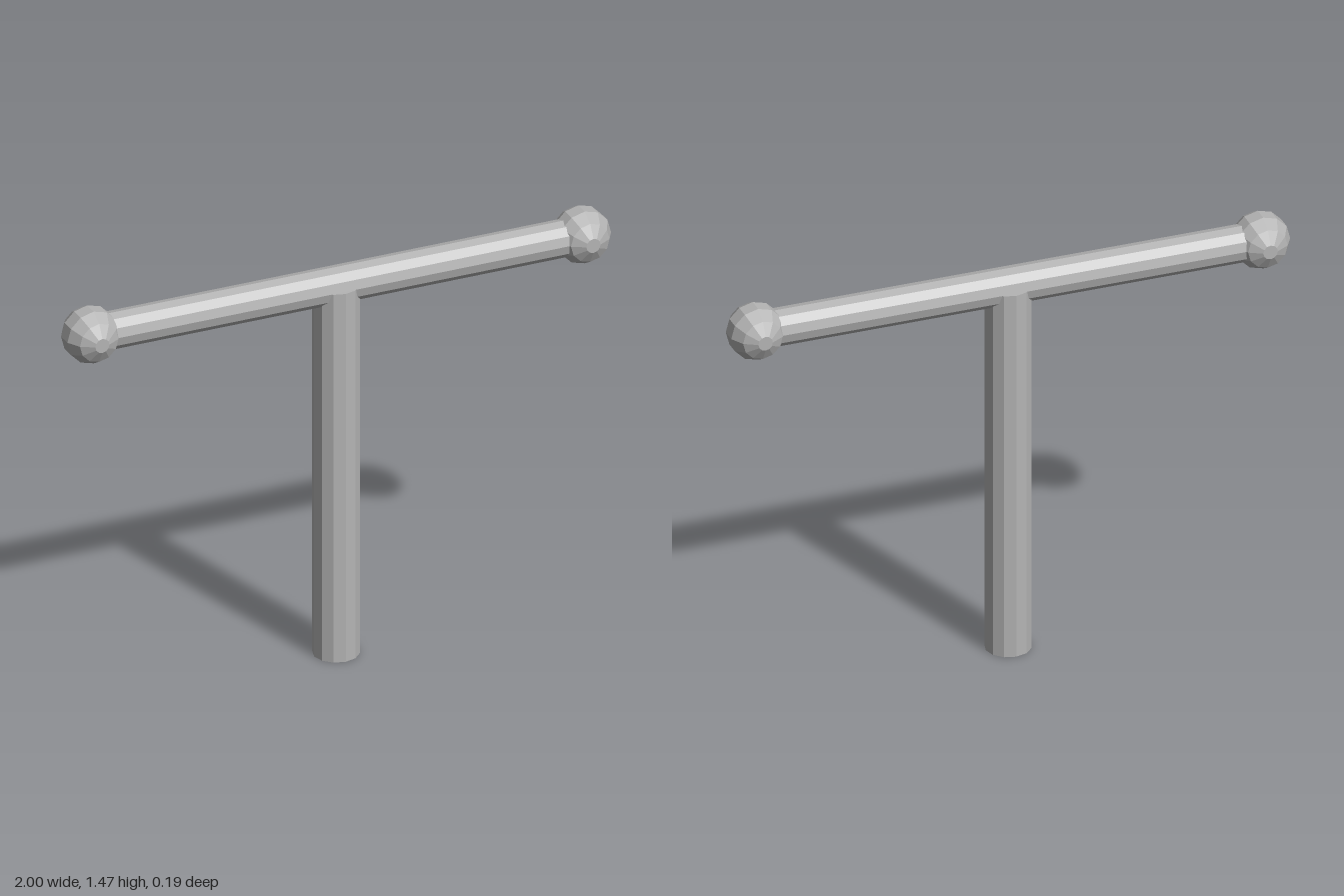
import * as THREE from 'three';

const SIDES = 12;
const AXIS_Y = 1.375;

// Faceted ball: six rings at half-step latitudes, with flat caps at the poles
function ballGeometry(radius, rings) {
  const points = [];
  for (let i = 0; i < rings; i++) {
    const a = ((i + 0.5) * Math.PI) / rings;
    points.push(new THREE.Vector2(radius * Math.sin(a), -radius * Math.cos(a)));
  }
  points.unshift(new THREE.Vector2(0, points[0].y));
  points.push(new THREE.Vector2(0, points[points.length - 1].y));
  return new THREE.LatheGeometry(points, SIDES).rotateX(Math.PI / 2);
}

export function createModel() {
  const group = new THREE.Group();
  group.name = 'tHandle';

  const grey = new THREE.MeshStandardMaterial({ color: 0xb4b4b4 });
  grey.name = 'plain grey';
  grey.flatShading = true;

  const add = (name, geometry, x, y) => {
    const mesh = new THREE.Mesh(geometry, grey);
    mesh.name = name;
    mesh.position.set(x, y, 0);
    group.add(mesh);
  };

  // Upright post, ending at the centre line of the bar
  add('post', new THREE.CylinderGeometry(0.08, 0.08, AXIS_Y, SIDES), 0, AXIS_Y / 2);

  // Crossbar along x
  const bar = new THREE.CylinderGeometry(0.065, 0.065, 1.8, SIDES).rotateZ(Math.PI / 2);
  add('crossbar', bar, 0, AXIS_Y);

  // Ball on each end
  const ball = ballGeometry(0.1, 6);
  add('leftBall', ball, 0.903, AXIS_Y);
  add('rightBall', ball, -0.903, AXIS_Y);

  return group;
}
